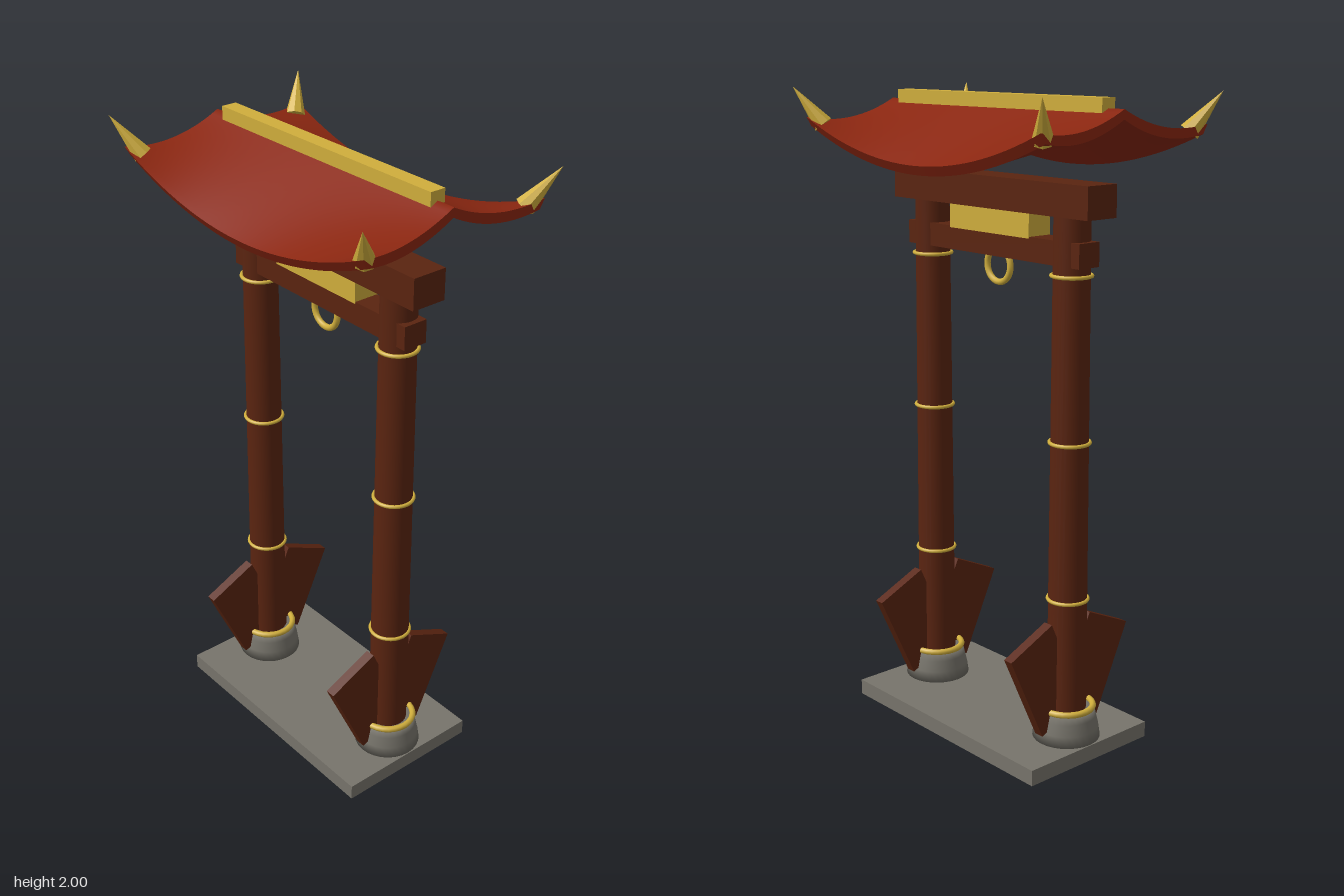
import * as THREE from 'three';

const material = (name, color) => {
  const m = new THREE.MeshStandardMaterial({ color });
  m.name = name;
  return m;
};

export function createModel() {
  const wood = material('dark wood', 0x5a2410);
  const roofRed = material('roof red', 0x8a2610);
  const gold = material('gold', 0xd0ae3c);
  const stone = material('stone', 0x77746b);
  const spikeGold = gold;

  const model = new THREE.Group();
  model.name = 'gate';

  const add = (name, geometry, mat, x = 0, y = 0, z = 0, parent = model) => {
    const mesh = new THREE.Mesh(geometry, mat);
    mesh.name = name;
    mesh.position.set(x, y, z);
    parent.add(mesh);
    return mesh;
  };
  const box = (w, h, d) => new THREE.BoxGeometry(w, h, d);

  // Stone slab
  add('baseSlab', box(0.846, 0.05, 0.486), stone, 0, 0.025, 0);

  // Columns with footing, bands and leaning braces
  const footProfile = [[0, 0.05], [0.105, 0.05], [0.1, 0.085], [0.092, 0.12], [0.086, 0.145], [0, 0.145]]
    .map(([r, y]) => new THREE.Vector2(r, y));
  for (const side of [-1, 1]) {
    const post = new THREE.Group();
    post.name = side > 0 ? 'leftPost' : 'rightPost';
    post.position.x = side * 0.315;
    model.add(post);

    add('column', new THREE.CylinderGeometry(0.054, 0.061, 1.54, 24), wood, 0, 0.9, 0, post);
    add('footing', new THREE.LatheGeometry(footProfile, 28), stone, 0, 0, 0, post);

    for (const [y, r, tube] of [[0.15, 0.082, 0.01], [0.5, 0.061, 0.006], [0.99, 0.06, 0.006], [1.485, 0.059, 0.006]]) {
      const band = add('band', new THREE.TorusGeometry(r, tube, 8, 28), gold, 0, y, 0, post);
      band.rotation.x = Math.PI / 2;
    }
    for (const s of [-1, 1]) {
      const brace = add('brace', box(0.032, 0.307, 0.18), wood, 0, 0.26, s * 0.0975, post);
      brace.rotation.x = s * 0.43;
    }
  }

  // Cross beams, plaque and hanging ring
  add('topBeam', box(0.866, 0.095, 0.114), wood, 0, 1.7025, 0);
  add('lowerBeam', box(0.77, 0.072, 0.08), wood, 0, 1.549, 0);
  add('plaque', box(0.356, 0.085, 0.084), gold, 0, 1.6225, 0);
  add('hangingRing', new THREE.TorusGeometry(0.052, 0.01, 10, 32), gold, 0, 1.48, 0);

  // Swept roof: a subdivided box bent so eaves sag mid-span and corners rise
  const roofGeometry = new THREE.BoxGeometry(2, 1, 2, 32, 1, 32);
  const p = roofGeometry.attributes.position;
  for (let i = 0; i < p.count; i++) {
    const u = p.getX(i);
    const w = p.getZ(i);
    const under = p.getY(i) < 0;
    const t = Math.abs(w);
    const top = 1.958 - 0.165 * t + 0.115 * u * u * t * t;
    p.setXYZ(i, u * (0.51 + 0.016 * t * t), top - (under ? 0.028 : 0), w * (under ? 0.305 : 0.322));
  }
  roofGeometry.computeVertexNormals();
  add('roof', roofGeometry, roofRed);
  add('ridgeBar', box(0.9, 0.045, 0.05), gold, 0, 1.9645, 0);

  // Corner spikes
  for (const sx of [-1, 1]) {
    for (const sz of [-1, 1]) {
      const base = new THREE.Vector3(sx * 0.493, 1.885, sz * 0.283);
      const axis = new THREE.Vector3(sx * 0.558, 2, sz * 0.348).sub(base);
      const cone = new THREE.ConeGeometry(0.031, axis.length(), 8).toNonIndexed();
      cone.computeVertexNormals();
      const spike = add('cornerSpike', cone, spikeGold);
      spike.position.copy(base).addScaledVector(axis, 0.5);
      spike.quaternion.setFromUnitVectors(new THREE.Vector3(0, 1, 0), axis.normalize());
    }
  }

  return model;
}
